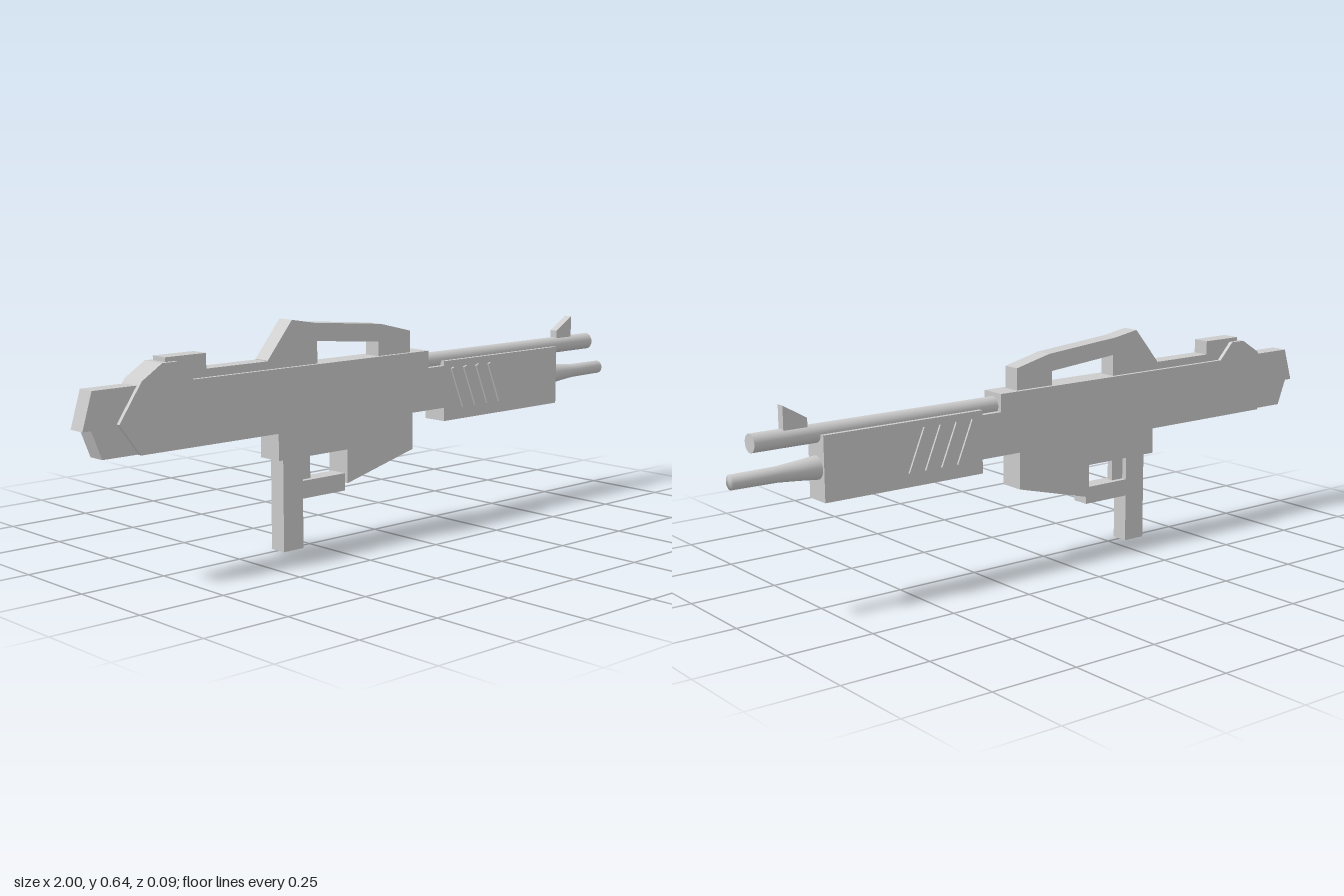
import * as THREE from 'three';

const material = new THREE.MeshStandardMaterial({ color: 0xcccccc });

export function createModel() {
  const group = new THREE.Group();
  const add = (name, geometry, x = 0, y = 0, z = 0) => {
    const mesh = new THREE.Mesh(geometry, material);
    mesh.name = name;
    mesh.position.set(x, y, z);
    group.add(mesh);
    return mesh;
  };
  // Side outline extruded symmetrically about z = 0
  const plate = (name, half, points) => {
    const shape = new THREE.Shape(points.map(([x, y]) => new THREE.Vector2(x, y)));
    const geometry = new THREE.ExtrudeGeometry(shape, { depth: half * 2, bevelEnabled: false });
    return add(name, geometry, 0, 0, -half);
  };
  const wide = 0.038, narrow = 0.026;

  // Main body with magazine housing and fore-end
  plate('body', wide, [
    [-0.9, 0.42], [-0.837, 0.335], [-0.39, 0.335], [-0.39, 0.26], [-0.14, 0.26],
    [-0.14, 0.163], [0.115, 0.228], [0.115, 0.335], [0.245, 0.335], [0.245, 0.295],
    [0.75, 0.295], [0.75, 0.474], [0.245, 0.474], [0.245, 0.46], [0.18, 0.46],
    [0.18, 0.511], [-0.67, 0.511], [-0.718, 0.562], [-0.767, 0.562], [-0.83, 0.522],
  ]);

  // Butt pad at the rear
  plate('buttPad', narrow, [
    [-1, 0.412], [-0.975, 0.412], [-0.945, 0.336], [-0.8, 0.336], [-0.8, 0.511], [-0.97, 0.511],
  ]);

  // Cheek rest and the low rail that runs to the handle
  plate('cheekRest', narrow, [
    [-0.75, 0.48], [-0.415, 0.48], [-0.415, 0.533], [-0.62, 0.533], [-0.62, 0.574], [-0.75, 0.574],
  ]);

  // Carry handle, open underneath
  plate('carryHandle', narrow, [
    [-0.415, 0.48], [-0.24, 0.48], [-0.24, 0.573], [-0.01, 0.552], [-0.01, 0.48],
    [0.115, 0.48], [0.115, 0.574], [0, 0.602], [-0.25, 0.624], [-0.33, 0.638], [-0.415, 0.535],
  ]);

  // Grip, guard and trigger
  add('grip', new THREE.BoxGeometry(0.07, 0.28, narrow * 2), -0.33, 0.14, 0);
  add('triggerGuard', new THREE.BoxGeometry(0.17, 0.05, narrow * 2), -0.225, 0.165, 0);
  add('trigger', new THREE.BoxGeometry(0.045, 0.09, 0.02), -0.277, 0.22, 0);

  // Upper tube
  const tube = new THREE.CylinderGeometry(0.025, 0.025, 0.77, 32);
  add('upperTube', tube.rotateZ(-Math.PI / 2), 0.555, 0.474, 0);

  // Lower barrel, flared where it leaves the fore-end
  const profile = [[0, 0.7], [0.032, 0.7], [0.032, 0.75], [0.026, 0.81], [0.021, 0.87], [0.02, 1], [0, 1]]
    .map(([r, x]) => new THREE.Vector2(r, x));
  add('barrel', new THREE.LatheGeometry(profile, 32).rotateZ(-Math.PI / 2), 0, 0.383, 0);

  // Front sight blade
  plate('frontSight', 0.012, [[0.78, 0.485], [0.85, 0.485], [0.85, 0.561], [0.78, 0.52]]);

  // Slanted ribs standing out on both sides of the fore-end
  for (let i = 0; i < 4; i++) {
    const rib = add('rib', new THREE.BoxGeometry(0.012, 0.13, 0.088), 0.302 + i * 0.053, 0.392, 0);
    rib.rotation.z = 0.395;
  }
  return group;
}
